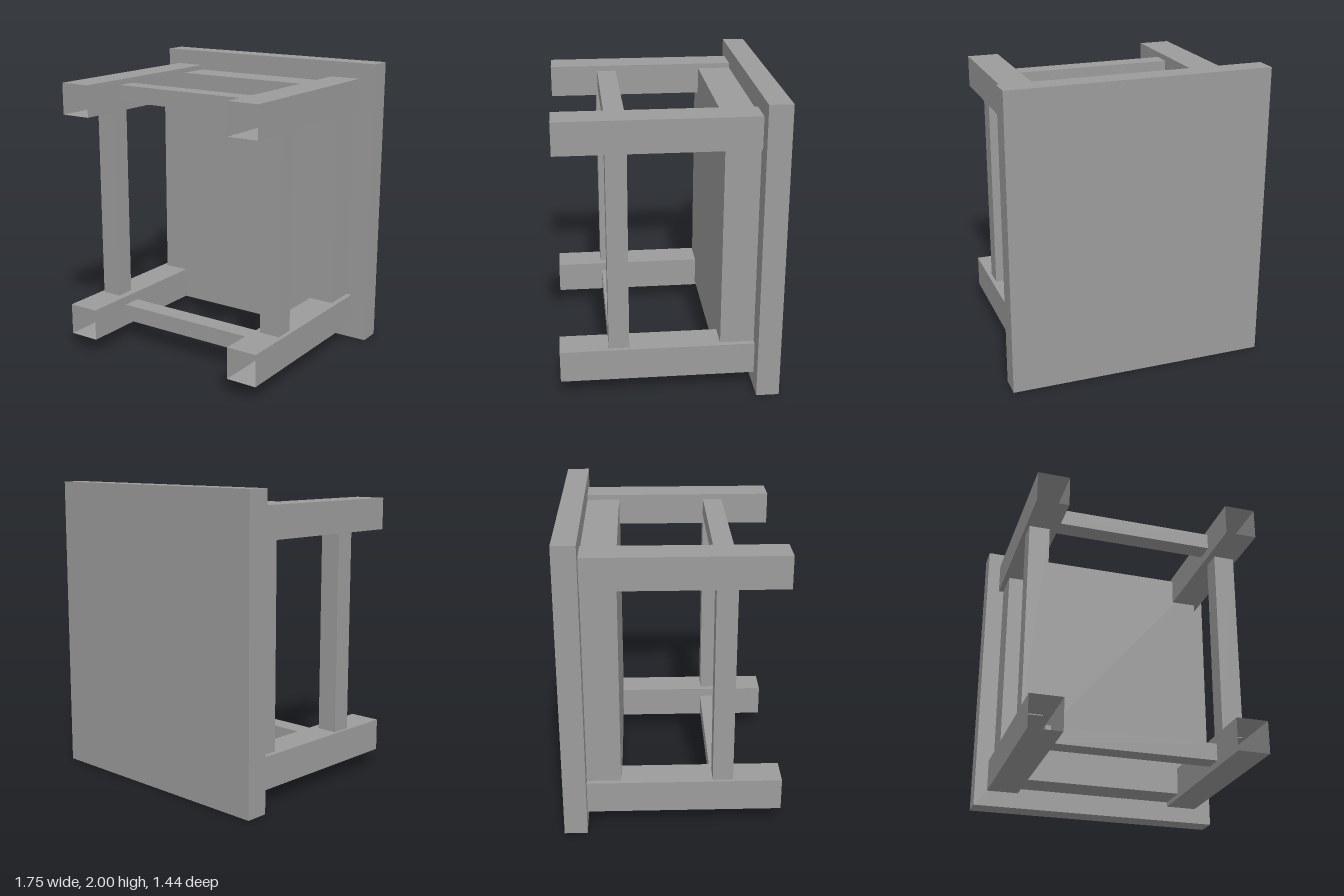
import * as THREE from 'three';

const solid = new THREE.MeshStandardMaterial({ color: 0x9c9c9c });
const sheet = new THREE.MeshStandardMaterial({ color: 0x9c9c9c, side: THREE.DoubleSide });

// Box given by its limits on each axis
function block(name, [x0, x1], [y0, y1], [z0, z1], material = solid) {
  const geometry = new THREE.BoxGeometry(x1 - x0, y1 - y0, z1 - z0);
  geometry.translate((x0 + x1) / 2, (y0 + y1) / 2, (z0 + z1) / 2);
  const mesh = new THREE.Mesh(geometry, material);
  mesh.name = name;
  return mesh;
}

// Hollow square tube along z: a box without its front and back faces
function tube(name, x, y, z) {
  const mesh = block(name, x, y, z, sheet);
  const geometry = mesh.geometry;
  geometry.setIndex(Array.from(geometry.index.array.slice(0, 24)));
  geometry.clearGroups();
  return mesh;
}

export function createModel() {
  const table = new THREE.Group();
  table.name = 'table';

  // The table lies on its side, with the top upright at the back
  table.add(block('tableTop', [-0.873, 0.873], [0, 2], [-0.72, -0.568]));
  table.add(block('apron', [-0.75, 0.717], [0.14, 1.86], [-0.568, -0.342]));

  // Four open-ended legs
  for (const [side, x] of [['right', [-0.785, -0.568]], ['left', [0.54, 0.755]]]) {
    table.add(tube(side + 'LowerLeg', x, [0.108, 0.326], [-0.568, 0.72]));
    table.add(tube(side + 'UpperLeg', x, [1.68, 1.894], [-0.568, 0.72]));
  }

  // Long stretchers joining the lower and upper legs
  table.add(block('rightLongStretcher', [-0.762, -0.622], [0.32, 1.687], [0.263, 0.398]));
  table.add(block('leftLongStretcher', [0.583, 0.727], [0.32, 1.687], [0.263, 0.398]));

  // Short stretchers joining the right and left legs
  table.add(block('lowerShortStretcher', [-0.602, 0.547], [0.15, 0.265], [0.258, 0.39]));
  table.add(block('upperShortStretcher', [-0.602, 0.547], [1.745, 1.857], [0.258, 0.39]));

  return table;
}
